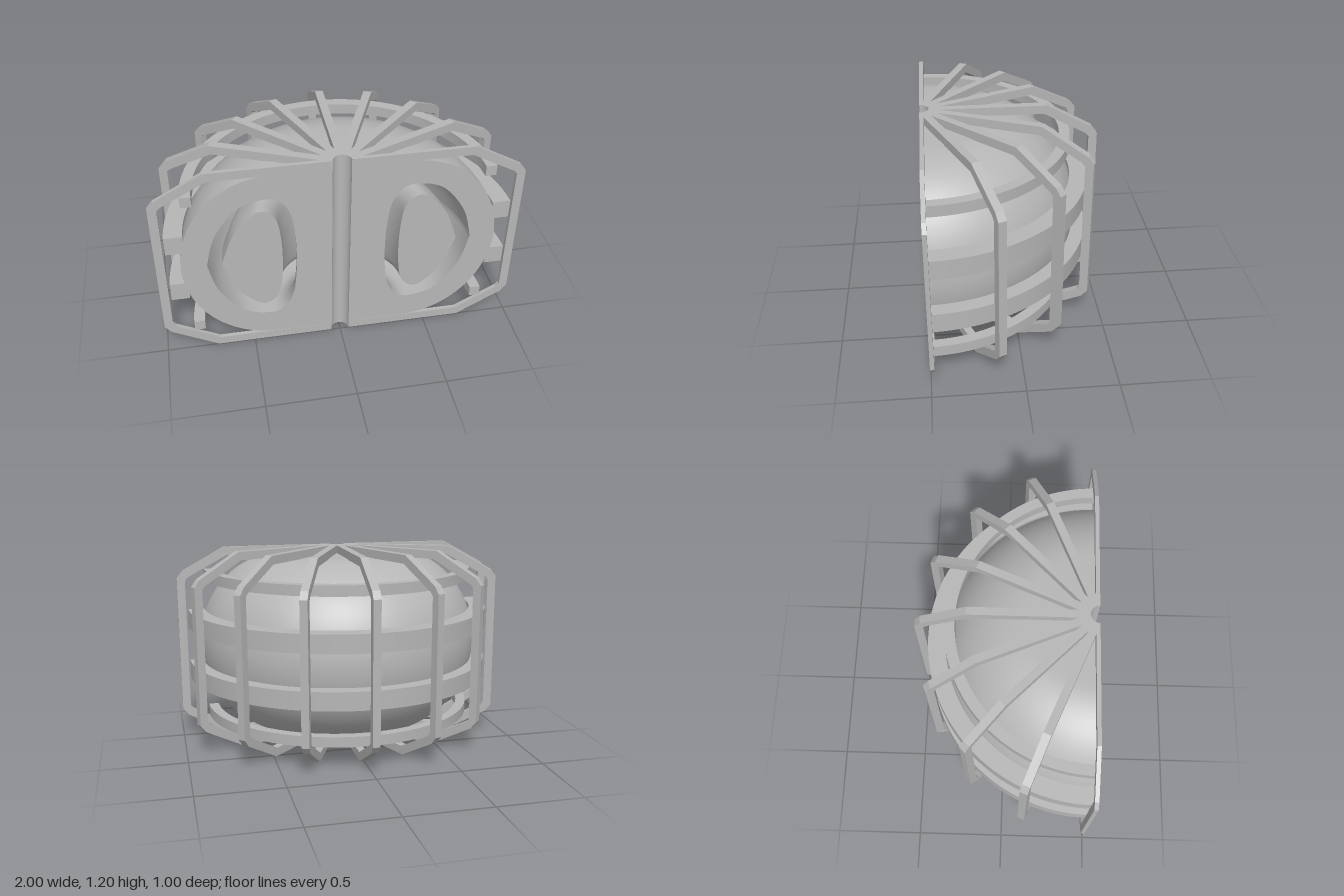
import * as THREE from 'three';
import { mergeGeometries, toCreasedNormals } from 'three/addons/utils/BufferGeometryUtils.js';

const AXIS_Z = 0.5; // the half ring turns about a vertical axis in the cut plane
const MID = 0.6;    // height of the mirror plane
const v = (x, y) => new THREE.Vector2(x, y);

// Closed D-shaped section, counter-clockwise, from its upper half (inner side to outer side)
function dSection(upper) {
  const top = upper.map(([r, y]) => v(r, y)).reverse();
  const bottom = top.slice(1, -1).reverse().map((p) => v(p.x, 2 * MID - p.y));
  return new THREE.SplineCurve([...top, ...bottom, top[0]]).getPoints(72);
}

const rect = (r0, r1, y0, y1) => [v(r0, y0), v(r1, y0), v(r1, y1), v(r0, y1)];

// Sweep a counter-clockwise section half way round the axis and close both cut ends
function halfRing(section, hole) {
  const lathe = (pts) => new THREE.LatheGeometry([...pts, pts[0]], 72, Math.PI / 2, Math.PI);
  const parts = [lathe(section)];
  if (hole) parts.push(lathe(hole.slice().reverse()));
  for (const s of [1, -1]) {
    const flip = (pts) => pts.map((p) => v(s * p.x, p.y));
    const shape = new THREE.Shape(flip(section));
    if (hole) shape.holes.push(new THREE.Path(flip(hole)));
    parts.push(new THREE.ShapeGeometry(shape));
  }
  return toCreasedNormals(mergeGeometries(parts), 0.5).translate(0, 0, AXIS_Z);
}

// C-shaped frame with chamfered corners, lying in the radius-height plane
function ribGeometry(start, depth, offset) {
  const outer = [[start, 1.195], [0.71, 1.195], [0.967, 1.053], [1, 1.01]];
  const inner = [[0.952, 0.995], [0.935, 1.015], [0.695, 1.145], [start, 1.145]];
  const low = (pts) => pts.map(([r, y]) => [r, 1.195 - y]).reverse();
  const pts = [...outer, ...low(outer), ...low(inner), ...inner];
  const shape = new THREE.Shape(pts.map(([r, y]) => v(r, y)));
  return new THREE.ExtrudeGeometry(shape, { depth, bevelEnabled: false }).translate(0, 0, offset);
}

export function createModel() {
  const model = new THREE.Group();
  model.name = 'ringVesselCutaway';
  const grey = new THREE.MeshStandardMaterial({ color: 0xb6b6b6 });
  grey.name = 'grey';
  const add = (name, geometry) => {
    const mesh = new THREE.Mesh(geometry, grey);
    mesh.name = name;
    model.add(mesh);
    return mesh;
  };

  // Vessel: flat top and bottom, bulging side, hollow D-shaped chamber
  const body = [v(0.05, 0.05)];
  for (let i = 0; i <= 40; i++) {
    const a = -Math.PI / 2 + (Math.PI * i) / 40;
    body.push(v(0.37 + 0.5 * Math.cos(a), MID + 0.548 * Math.sin(a)));
  }
  body.push(v(0.05, 1.148));
  body[0].y = body[1].y;
  const chamber = dSection([[0.245, 0.6], [0.25, 0.74], [0.27, 0.88], [0.322, 0.97],
    [0.405, 1.0], [0.555, 0.952], [0.68, 0.785], [0.73, 0.6]]);
  add('vessel', halfRing(body, chamber));

  // Solid core ring floating in the chamber
  const core = dSection([[0.322, 0.6], [0.328, 0.74], [0.35, 0.86], [0.41, 0.92],
    [0.48, 0.9], [0.58, 0.785], [0.65, 0.6]]);
  add('coreRing', halfRing(core));

  // Central hub around the bore
  add('centralHub', halfRing(rect(0.05, 0.113, 0, 1.195)));

  // Horizontal hoops: slim outer pair and broad middle pair
  const hoops = [[0.775, 0.835, 0.135, 0.197], [0.84, 0.94, 0.383, 0.493]];
  for (const [r0, r1, y0, y1] of hoops) {
    add('lowerHoop', halfRing(rect(r0, r1, y0, y1)));
    add('upperHoop', halfRing(rect(r0, r1, 1.198 - y1, 1.198 - y0)));
  }

  // Radial cage ribs, the two at the cut plane halved
  const rib = ribGeometry(0.065, 0.045, -0.0225);
  for (let k = 1; k < 8; k++) {
    const mesh = add('cageRib', rib);
    mesh.rotation.y = (k * Math.PI) / 8;
    mesh.position.z = AXIS_Z;
  }
  add('leftEndRib', ribGeometry(0.05, 0.0225, -0.0225)).position.z = AXIS_Z;
  const right = add('rightEndRib', ribGeometry(0.05, 0.0225, 0));
  right.rotation.y = Math.PI;
  right.position.z = AXIS_Z;

  return model;
}
